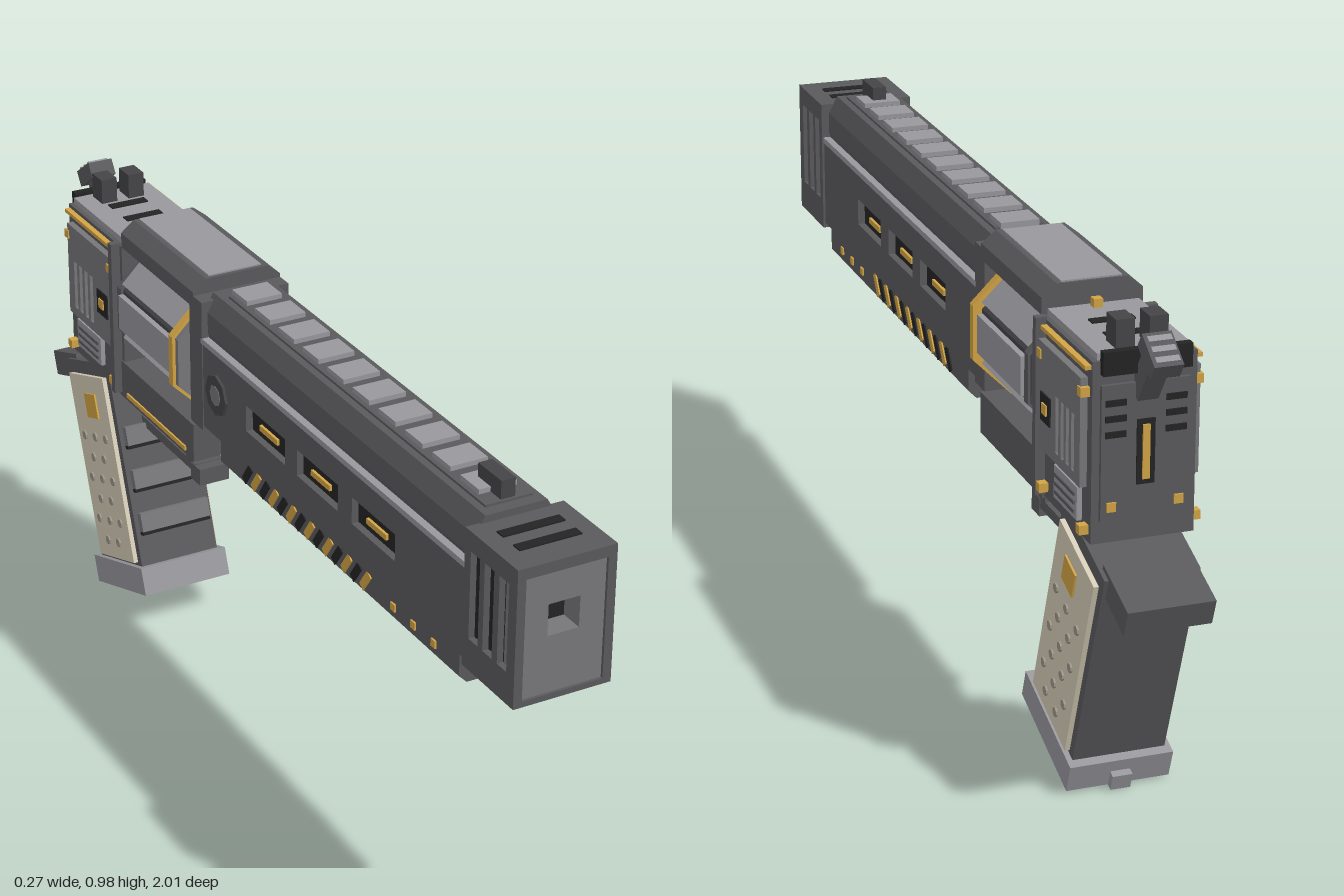
import * as THREE from 'three';

const mat = (color) => new THREE.MeshStandardMaterial({ color, flatShading: true });
const DARK = mat(0x5a5a5d), MID = mat(0x77777a), LIGHT = mat(0x98989d), DEEP = mat(0x454548);
const BLACK = mat(0x242425), GOLD = mat(0xd2a445), CREAM = mat(0xd6cdb8);

const add = (parent, name, geo, m, x = 0, y = 0, z = 0) => {
  const mesh = new THREE.Mesh(geo, m);
  mesh.name = name;
  mesh.position.set(x, y, z);
  parent.add(mesh);
  return mesh;
};

// box given by its min and max along y and z, centred on x unless moved
const box = (parent, name, m, w, [y0, y1], [z0, z1], x = 0) =>
  add(parent, name, new THREE.BoxGeometry(w, y1 - y0, z1 - z0), m, x, (y0 + y1) / 2, (z0 + z1) / 2);

// the same thin box on both flanks, its outer face at x = outer
const flank = (parent, name, m, outer, t, ys, zs) => {
  for (const s of [1, -1]) box(parent, name, m, t, ys, zs, s * (outer - t / 2));
};

// mirrored half profile extruded along z
const prism = (parent, name, m, half, z0, z1) => {
  const pts = [...half, ...half.map(([x, y]) => [-x, y]).reverse()].map((p) => new THREE.Vector2(...p));
  const geo = new THREE.ExtrudeGeometry(new THREE.Shape(pts), { depth: z1 - z0, bevelEnabled: false });
  return add(parent, name, geo, m, 0, 0, z0);
};

const rect = (T, [a0, a1], [b0, b1]) =>
  new T([[a0, b0], [a1, b0], [a1, b1], [a0, b1]].map((p) => new THREE.Vector2(...p)));
const holed = (as, bs, holes) => {
  const s = rect(THREE.Shape, as, bs);
  s.holes = holes.map(([a, b]) => rect(THREE.Path, a, b));
  return s;
};

// side plate with rectangular windows, drawn in z and y, on both flanks
const sidePlate = (parent, name, m, outer, t, ys, zs, holes) => {
  const geo = new THREE.ExtrudeGeometry(holed(zs, ys, holes), { depth: t, bevelEnabled: false });
  geo.rotateY(-Math.PI / 2);
  add(parent, name, geo, m, outer);
  add(parent, name, geo, m, -outer + t);
};

const octagon = (apothem, len) =>
  new THREE.CylinderGeometry(apothem / Math.cos(Math.PI / 8), apothem / Math.cos(Math.PI / 8), len, 8, 1, false, Math.PI / 8)
    .rotateX(Math.PI / 2);

function buildMuzzle(g) {
  const slots = [0.857, 0.905, 0.955].map((z) => [[z - 0.016, z + 0.016], [0.705, 0.885]]);
  box(g, 'muzzleCore', BLACK, 0.18, [0.655, 0.91], [0.825, 0.94]);
  sidePlate(g, 'muzzleSide', DARK, 0.103, 0.015, [0.64, 0.925], [0.82, 0.99], slots);
  box(g, 'muzzleTop', DARK, 0.18, [0.9, 0.925], [0.82, 0.99]);
  box(g, 'muzzleBottom', DARK, 0.18, [0.64, 0.66], [0.82, 0.99]);
  box(g, 'muzzleBack', DARK, 0.18, [0.65, 0.91], [0.82, 0.83]);
  for (const z of [0.875, 0.93]) box(g, 'topVent', BLACK, 0.13, [0.92, 0.928], [z - 0.011, z + 0.011]);
  // rim and recessed face with a square bore
  const rim = holed([-0.103, 0.103], [0.64, 0.925], [[[-0.085, 0.085], [0.652, 0.902]]]);
  add(g, 'muzzleRim', new THREE.ExtrudeGeometry(rim, { depth: 0.015, bevelEnabled: false }), DARK, 0, 0, 0.983);
  const face = holed([-0.09, 0.09], [0.645, 0.91], [[[-0.033, 0.033], [0.77, 0.835]]]);
  add(g, 'muzzleFace', new THREE.ExtrudeGeometry(face, { depth: 0.05, bevelEnabled: false }), MID, 0, 0, 0.942);
}

function buildBarrel(g) {
  prism(g, 'barrelCore', DARK, [[0.08, 0.65], [0.08, 0.84], [0.086, 0.86], [0.086, 0.905], [0.065, 0.94]], -0.24, 0.825);
  const wins = [[0.4, 0.565], [0.18, 0.345], [-0.035, 0.13]];
  sidePlate(g, 'barrelSide', DARK, 0.098, 0.02, [0.65, 0.84], [-0.23, 0.82], wins.map((w) => [w, [0.725, 0.782]]));
  flank(g, 'barrelEdgeTrim', LIGHT, 0.1, 0.016, [0.838, 0.85], [-0.23, 0.82]);
  for (const [a, b] of wins) {
    flank(g, 'windowBack', BLACK, 0.083, 0.006, [0.725, 0.782], [a, b]);
    flank(g, 'windowGlow', GOLD, 0.089, 0.008, [0.742, 0.754], [a + 0.04, b - 0.05]);
  }
  // top rail with raised lighter teeth
  box(g, 'topRail', DARK, 0.1, [0.93, 0.945], [-0.2, 0.8]);
  for (let i = 0; i < 10; i++) {
    const z = -0.175 + i * 0.1;
    box(g, 'railTooth', LIGHT, 0.08, [0.94, 0.955], [z - 0.03, z + 0.035]);
  }
  box(g, 'frontSight', DEEP, 0.03, [0.94, 0.983], [0.715, 0.795]);
  // under-barrel with hazard stripes and studs
  prism(g, 'underBarrel', DARK, [[0.075, 0.58], [0.092, 0.597], [0.092, 0.655]], -0.16, 0.795);
  for (const s of [1, -1]) {
    for (let i = 0; i < 14; i++) {
      const stripe = add(g, 'hazardStripe', new THREE.BoxGeometry(0.004, 0.05, 0.018), i % 2 ? BLACK : GOLD,
        s * 0.093, 0.623, 0.448 - i * 0.0375);
      stripe.rotation.x = 0.62;
    }
    for (const z of [0.555, 0.63, 0.705])
      add(g, 'underBarrelStud', new THREE.BoxGeometry(0.006, 0.016, 0.016), GOLD, s * 0.093, 0.62, z);
  }
  // round badge on one flank only
  const badge = new THREE.CylinderGeometry(0.045, 0.045, 0.008, 8).rotateZ(Math.PI / 2);
  add(g, 'badge', badge, DEEP, -0.1, 0.75, -0.16);
  add(g, 'badgeCentre', badge.clone().scale(1.3, 0.5, 0.5), MID, -0.1, 0.75, -0.16);
}

function buildDrum(g) {
  const drum = new THREE.Group();
  drum.name = 'drum';
  drum.position.set(0, 0.775, -0.44);
  g.add(drum);
  add(drum, 'drumCore', octagon(0.115, 0.3), DEEP);
  add(drum, 'drumRearRing', octagon(0.12, 0.02), DARK, 0, 0, -0.135);
  add(drum, 'drumGoldRing', octagon(0.134, 0.018), GOLD, 0, 0, 0.138);
  add(drum, 'drumFrontRing', octagon(0.127, 0.014), MID, 0, 0, 0.152);
  for (let i = 0; i < 8; i++) {
    const a = (i * Math.PI) / 4;
    const panel = add(drum, 'drumPanel', new THREE.BoxGeometry(0.02, 0.078, 0.25), LIGHT,
      Math.cos(a) * 0.117, Math.sin(a) * 0.117, 0);
    panel.rotation.z = a;
  }
}

function buildFrame(g) {
  prism(g, 'topStrap', DARK, [[0.1, 0.905], [0.1, 0.938], [0.07, 0.962]], -0.6, -0.262);
  box(g, 'topStrapPlate', LIGHT, 0.12, [0.95, 0.965], [-0.595, -0.27]);
  box(g, 'frontYoke', DARK, 0.2, [0.64, 0.93], [-0.28, -0.225]);
  box(g, 'lowerFrame', DARK, 0.206, [0.55, 0.635], [-0.62, -0.265]);
  box(g, 'lowerGoldLine', GOLD, 0.004, [0.56, 0.57], [-0.58, -0.3], -0.105);
  const rod = new THREE.CylinderGeometry(0.016, 0.016, 0.1, 8).rotateX(Math.PI / 2);
  add(g, 'ejectorRod', rod, LIGHT, 0, 0.605, -0.24);

  // rear block with slotted side plates
  box(g, 'rearBlock', DARK, 0.2, [0.555, 0.905], [-0.865, -0.6]);
  box(g, 'rearTopPlate', LIGHT, 0.18, [0.9, 0.918], [-0.86, -0.605]);
  const slits = [0, 1, 2, 3].map((i) => [[-0.735 - i * 0.027, -0.72 - i * 0.027], [0.68, 0.79]]);
  sidePlate(g, 'rearSidePlate', MID, 0.115, 0.014, [0.66, 0.87], [-0.845, -0.615], slits);
  flank(g, 'slitBack', BLACK, 0.103, 0.006, [0.675, 0.795], [-0.835, -0.71]);
  flank(g, 'lowerSidePlate', LIGHT, 0.11, 0.012, [0.585, 0.65], [-0.82, -0.7]);
  flank(g, 'sideEdge', DARK, 0.12, 0.022, [0.56, 0.91], [-0.626, -0.61]);
  flank(g, 'sideGoldLine', GOLD, 0.112, 0.014, [0.889, 0.897], [-0.86, -0.63]);
  flank(g, 'sideLatch', BLACK, 0.118, 0.006, [0.72, 0.775], [-0.695, -0.645]);
  flank(g, 'sideLatchGold', GOLD, 0.121, 0.005, [0.737, 0.758], [-0.682, -0.66]);
  for (const z of [-0.635, -0.845]) for (const y of [0.58, 0.845])
    flank(g, 'sideScrew', GOLD, 0.118, 0.02, [y - 0.009, y + 0.009], [z - 0.009, z + 0.009]);
  for (let i = 0; i < 3; i++)
    flank(g, 'lowerRib', DARK, 0.113, 0.005, [0.596 + i * 0.017, 0.603 + i * 0.017], [-0.81, -0.71]);

  // back plate with vents, gold slot and screws
  box(g, 'backPlate', DARK, 0.17, [0.6, 0.86], [-0.873, -0.86]);
  box(g, 'backSlot', BLACK, 0.035, [0.665, 0.79], [-0.876, -0.87]);
  box(g, 'backSlotGold', GOLD, 0.014, [0.675, 0.78], [-0.879, -0.87]);
  for (const s of [1, -1]) {
    for (let i = 0; i < 3; i++)
      box(g, 'backVent', BLACK, 0.04, [0.76 + i * 0.03, 0.772 + i * 0.03], [-0.876, -0.87], s * 0.058);
    box(g, 'backScrew', GOLD, 0.018, [0.618, 0.636], [-0.877, -0.87], s * 0.065);
    box(g, 'rearSight', DEEP, 0.036, [0.91, 0.972], [-0.848, -0.8], s * 0.032);
  }
  for (const z of [-0.775, -0.7]) box(g, 'topSlot', BLACK, 0.085, [0.91, 0.921], [z - 0.011, z + 0.011]);
  box(g, 'topScrew', GOLD, 0.018, [0.91, 0.935], [-0.632, -0.614]);
  box(g, 'backRidge', BLACK, 0.17, [0.88, 0.925], [-0.88, -0.863]);

  // hammer with ribbed spur
  const hammer = new THREE.Group();
  hammer.name = 'hammer';
  hammer.position.set(0, 0.855, -0.875);
  hammer.rotation.x = -0.6;
  g.add(hammer);
  box(hammer, 'hammerArm', DARK, 0.04, [-0.02, 0.1], [-0.02, 0.02]);
  box(hammer, 'hammerSpur', DARK, 0.056, [0.08, 0.115], [-0.045, 0.03]);
  for (let i = 0; i < 3; i++) box(hammer, 'spurRib', LIGHT, 0.045, [0.11, 0.12], [-0.038 + i * 0.023, -0.026 + i * 0.023]);
}

function buildTrigger(g) {
  box(g, 'guardPost', DARK, 0.066, [0.44, 0.56], [-0.445, -0.412]);
  box(g, 'guardBar', DARK, 0.066, [0.44, 0.462], [-0.69, -0.4]);
  box(g, 'guardTip', DARK, 0.07, [0.422, 0.46], [-0.418, -0.375]);
  box(g, 'trigger', LIGHT, 0.04, [0.485, 0.56], [-0.602, -0.568]).rotation.x = 0.08;
}

function buildGrip(g) {
  const grip = new THREE.Group();
  grip.name = 'grip';
  grip.position.set(0, 0.052, -0.64);
  grip.rotation.x = -0.34;
  g.add(grip);
  box(grip, 'gripCore', DARK, 0.186, [0.05, 0.52], [-0.113, 0.113]);
  box(grip, 'gripBase', LIGHT, 0.208, [0, 0.062], [-0.132, 0.132]);
  box(grip, 'gripBasePlate', BLACK, 0.17, [-0.003, 0.01], [-0.112, 0.112]);
  box(grip, 'lanyardNub', LIGHT, 0.04, [0.0, 0.035], [-0.147, -0.125]);
  box(grip, 'tang', DARK, 0.17, [0.475, 0.53], [-0.21, -0.08]);
  flank(grip, 'gripPanel', CREAM, 0.103, 0.012, [0.07, 0.49], [-0.094, 0.094]);
  flank(grip, 'gripBadge', GOLD, 0.107, 0.008, [0.395, 0.45], [-0.018, 0.04]);
  const dot = new THREE.CylinderGeometry(0.01, 0.01, 0.008, 8).rotateZ(Math.PI / 2);
  const dotMat = mat(0x9c968a);
  for (const s of [1, -1]) for (let r = 0; r < 6; r++) for (let c = 0; c < 2 + (r % 2); c++)
    add(grip, 'gripDot', dot, dotMat, s * 0.103, 0.11 + r * 0.048, (c - (1 + (r % 2)) / 2) * 0.058);
  // finger ridges on the front strap
  for (let i = 0; i < 3; i++) {
    const y = 0.14 + i * 0.098;
    box(grip, 'fingerRidge', MID, 0.166, [y, y + 0.042], [0.1, 0.13]);
    box(grip, 'fingerRidgeShadow', BLACK, 0.166, [y - 0.008, y], [0.1, 0.127]);
  }
}

export function createModel() {
  const g = new THREE.Group();
  g.name = 'revolver';
  for (const build of [buildMuzzle, buildBarrel, buildDrum, buildFrame, buildTrigger, buildGrip]) build(g);
  return g;
}
